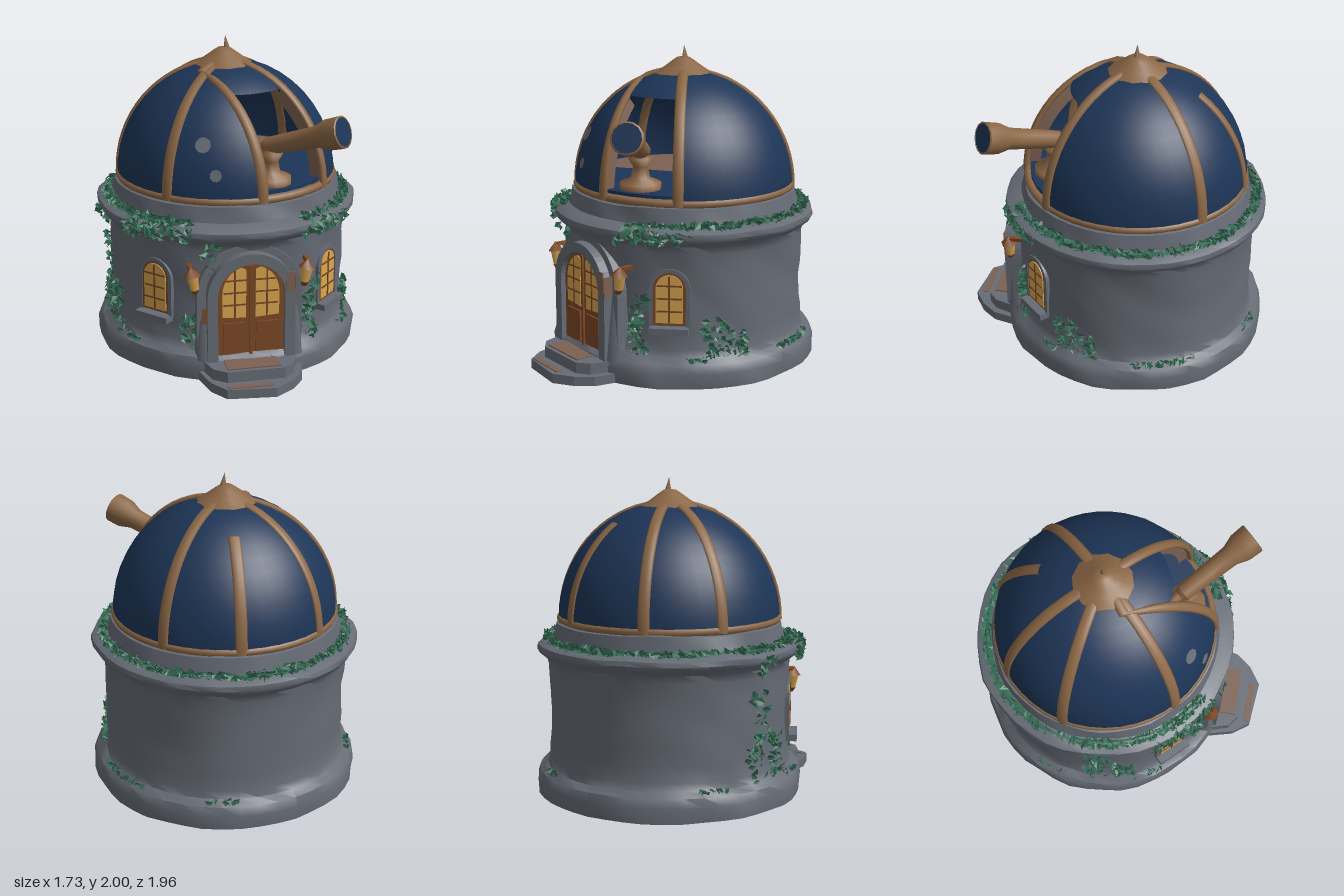
import * as THREE from 'three';
import { mergeVertices, mergeGeometries, toCreasedNormals } from 'three/addons/utils/BufferGeometryUtils.js';
import { ParametricGeometry } from 'three/addons/geometries/ParametricGeometry.js';

const CZ = -0.12; // centre of the round tower
const DEG = Math.PI / 180;
const mat = (name, color, side = THREE.FrontSide) => {
  const m = new THREE.MeshStandardMaterial({ color, side });
  m.name = name;
  return m;
};

export function createModel() {
  const stone = mat('stone', 0x666b75);
  const blue = mat('dome blue', 0x1d3557, THREE.DoubleSide);
  const copper = mat('copper', 0x8b6745, THREE.DoubleSide);
  const wood = mat('door wood', 0x7d4825);
  const glow = mat('window glow', 0xd9a650);
  const ivy = mat('ivy green', 0x377058, THREE.DoubleSide);
  const clay = mat('worn clay', 0x7c6153, THREE.DoubleSide);

  const model = new THREE.Group();
  const add = (name, geo, material, parent = model) => {
    const mesh = new THREE.Mesh(geo, material);
    mesh.name = name;
    parent.add(mesh);
    return mesh;
  };
  const box = (w, h, d, x, y, z) => new THREE.BoxGeometry(w, h, d).translate(x, y, z);
  const lathe = (pts, sides) => new THREE.LatheGeometry(pts.map(([r, y]) => new THREE.Vector2(r, y)), sides);
  let seed = 7;
  const rnd = () => (seed = (seed * 16807) % 2147483647) / 2147483647;
  const spread = (s) => (rnd() * 2 - 1) * s;

  // Uneven hand-built stone: pushes vertices outward by a smooth wave pattern
  const roughen = (geo, amp) => {
    geo.deleteAttribute('uv');
    geo.deleteAttribute('normal');
    const g = mergeVertices(geo, 1e-4);
    const p = g.attributes.position;
    for (let i = 0; i < p.count; i++) {
      const x = p.getX(i), y = p.getY(i), z = p.getZ(i);
      const n = Math.sin(9 * x + 5 * y + 1) * Math.sin(8 * z - 6 * y) + 0.7 * Math.sin(19 * y + 14 * x) * Math.cos(16 * z + 2);
      const k = 1 + amp * n;
      p.setXYZ(i, x * k, y < 0.01 ? y : y + amp * 0.5 * n, z * k);
    }
    return toCreasedNormals(g, 0.75);
  };

  // Round tower: plinth, wall, cornice and drum in one turned profile
  add('tower', roughen(lathe([[0, 0], [0.855, 0], [0.86, 0.09], [0.84, 0.145], [0.79, 0.175], [0.775, 0.22], [0.77, 0.32],
    [0.768, 0.42], [0.768, 0.52], [0.768, 0.62], [0.77, 0.72], [0.775, 0.82], [0.785, 0.87], [0.83, 0.905], [0.845, 0.93],
    [0.84, 0.96], [0.8, 0.98], [0.745, 0.995], [0.735, 1.04], [0.725, 1.09], [0.69, 1.1], [0, 1.1]], 44), 0.012).translate(0, 0, CZ), stone);

  // Dome surface point for heading a (0 = front, + = left) and elevation t
  const domePoint = (a, t, out, target) => target.set(
    (0.71 + out) * Math.cos(t) * Math.sin(a), 1.1 + (0.745 + out) * Math.sin(t), CZ + (0.71 + out) * Math.cos(t) * Math.cos(a));
  const slitLeft = (t) => 27 * DEG - Math.asin(Math.min(0.97, 0.235 / (0.71 * Math.cos(t))));
  const slitRight = () => 49 * DEG;
  const patch = (a0, a1, t0, t1, nu, nv) => new ParametricGeometry((u, v, p) => {
    const t = t0 + (t1 - t0) * v;
    domePoint(a0(t) + (a1(t) - a0(t)) * u, t, 0, p);
  }, nu, nv);
  add('domeShell', patch(slitRight, (t) => slitLeft(t) + 2 * Math.PI, 0, 1.52, 40, 12), blue);
  add('domeSlitTop', patch(slitLeft, slitRight, 0.95, 1.52, 6, 5), blue);

  // Inner jambs of the slit
  for (const edge of [slitLeft, slitRight]) add('slitJamb', new ParametricGeometry((u, v, p) =>
    domePoint(edge(v * 0.95), v * 0.95, -0.09 * u, p), 1, 10), clay);

  // Copper ribs with a rounded section
  const rib = (name, heading, t1, w = 0.036, thick = 0.013) => add(name, new ParametricGeometry((u, v, p) => {
    const t = t1 * v, a = heading(t), f = -u * 2 * Math.PI;
    const side = w * Math.cos(f);
    domePoint(a, t, thick * Math.sin(f), p);
    p.x += side * Math.cos(a);
    p.z -= side * Math.sin(a);
  }, 8, 16), copper);
  for (const d of [-41.5, -102, -141, 134]) rib('domeRib', () => d * DEG, 1.45);
  rib('shortRib', () => 173 * DEG, 0.98);
  for (const edge of [slitLeft, slitRight]) rib('slitRib', edge, 1.4, 0.034, 0.02);
  add('domeRing', new THREE.TorusGeometry(0.695, 0.026, 8, 48).rotateX(Math.PI / 2).translate(0, 1.115, CZ), copper);

  // Crown cap with a bent spike
  add('crownCap', toCreasedNormals(lathe([[0.19, 1.79], [0.185, 1.82], [0.125, 1.86], [0.07, 1.9], [0.04, 1.92], [0, 1.925]], 12), 0.6)
    .translate(-0.01, 0, CZ), copper);
  add('crownSpike', new THREE.ConeGeometry(0.028, 0.11, 6).rotateZ(0.12).translate(0.005, 1.945, CZ), copper);

  // Weathered patches on the dome
  for (const [a, t, r] of [[-23.5, 0.486, 0.05], [-16, 0.242, 0.038]]) {
    const m = add('domePatch', new THREE.CircleGeometry(r, 9), stone);
    domePoint(a * DEG, t, 0.006, m.position);
    m.rotation.set(-t, a * DEG, 0, 'YXZ');
  }

  // Observatory floor, with bare boards in the rear half
  add('floor', new THREE.CylinderGeometry(0.68, 0.68, 0.02, 32).translate(0, 1.15, CZ), blue);
  add('floorBoards', new THREE.CircleGeometry(0.64, 24, 0, Math.PI).rotateX(-Math.PI / 2).rotateY(32 * DEG).translate(0, 1.167, CZ), clay);

  // Telescope and its stand
  add('telescopeStand', lathe([[0.13, 1.16], [0.13, 1.2], [0.06, 1.23], [0.045, 1.3], [0.075, 1.35], [0, 1.4]], 12).translate(0.19, 0, 0.37), copper);
  const telescope = new THREE.Group();
  telescope.name = 'telescope';
  telescope.position.set(0.11, 1.36, 0.28);
  telescope.quaternion.setFromUnitVectors(new THREE.Vector3(0, 1, 0), new THREE.Vector3(0.43, 0.2, 0.44).normalize());
  model.add(telescope);
  add('telescopeTube', toCreasedNormals(lathe([[0, 0], [0.03, 0], [0.032, 0.07], [0.055, 0.1], [0.062, 0.3], [0.068, 0.47],
    [0.096, 0.55], [0.1, 0.645], [0.09, 0.65], [0.087, 0.64]], 14), 0.6), copper, telescope);
  add('telescopeLens', new THREE.CircleGeometry(0.091, 14).rotateX(-Math.PI / 2).translate(0, 0.646, 0), blue, telescope);

  // Arched shapes shared by the door and windows
  const arch = (S, hw, y0, spring) => {
    const s = new S();
    s.moveTo(-hw, y0);
    s.lineTo(hw, y0);
    s.lineTo(hw, spring);
    s.absarc(0, spring, hw, 0, Math.PI, false);
    s.closePath();
    return s;
  };
  const extrude = (shape, depth, z) => new THREE.ExtrudeGeometry(shape, { depth, bevelEnabled: false, curveSegments: 12 }).translate(0, 0, z);
  const archRing = (hw, inner, y0, spring, depth, z) => {
    const s = arch(THREE.Shape, hw, y0, spring);
    s.holes.push(arch(THREE.Path, inner, y0 + 0.004, spring));
    return extrude(s, depth, z);
  };

  // Entrance: stone arch, double door and glazing
  add('doorArch', archRing(0.275, 0.21, 0.1, 0.55, 0.18, 0.53), stone);
  add('doorArchBacking', archRing(0.33, 0.21, 0.1, 0.54, 0.15, 0.5), stone);
  add('door', extrude(arch(THREE.Shape, 0.212, 0.12, 0.55), 0.125, 0.55), wood);
  for (const s of [-1, 1]) {
    const pane = new THREE.Shape();
    pane.moveTo(s * 0.03, 0.4);
    pane.lineTo(s * 0.178, 0.41);
    pane.lineTo(s * 0.178, 0.57);
    pane.quadraticCurveTo(s * 0.168, 0.69, s * 0.06, 0.73);
    pane.lineTo(s * 0.03, 0.715);
    add('doorPane', extrude(pane, 0.006, 0.675), glow);
    add('doorBars', mergeGeometries([box(0.01, 0.31, 0.008, s * 0.1, 0.56, 0.681), ...[0.49, 0.57, 0.65].map((y) =>
      box(0.14, 0.01, 0.008, s * 0.1, y, 0.681))]), wood);
    add('doorPanel', box(0.14, 0.2, 0.014, s * 0.103, 0.27, 0.68), wood);
    // Buttress beside the arch
    add('buttress', new THREE.CylinderGeometry(0.03, 0.075, 0.42, 7).translate(s * 0.275, 0.33, 0.62), stone);
  }
  add('doorPost', box(0.018, 0.6, 0.014, 0, 0.44, 0.683), wood);
  // Worn plaster on the arch
  add('archWear', mergeGeometries([box(0.055, 0.13, 0.006, 0.243, 0.63, 0.711), box(0.006, 0.13, 0.1, 0.276, 0.6, 0.66)]), clay);
  add('archWearLow', box(0.03, 0.1, 0.006, -0.29, 0.43, 0.683), wood);

  // Entrance steps cut from a plan outline
  const step = (name, pts, h) => add(name, extrude(new THREE.Shape(pts.map(([x, z]) => new THREE.Vector2(x, z))), h, -h).rotateX(Math.PI / 2), stone);
  step('lowerStep', [[-0.37, 0.5], [0.37, 0.5], [0.3, 0.8], [0.22, 0.9], [0.1, 0.98], [-0.2, 0.95], [-0.28, 0.84]], 0.06);
  step('upperStep', [[-0.35, 0.5], [0.35, 0.5], [0.25, 0.8], [0.18, 0.86], [-0.18, 0.86], [-0.26, 0.8]], 0.13);
  add('doorMat', box(0.33, 0.008, 0.13, -0.01, 0.134, 0.77), clay);
  add('stepWear', box(0.28, 0.006, 0.04, -0.05, 0.063, 0.925), clay);

  // Side windows and lanterns
  for (const s of [-1, 1]) {
    const win = new THREE.Group();
    win.name = 'window';
    win.position.set(s * 0.765 * Math.sin(45.5 * DEG), 0, CZ + 0.765 * Math.cos(45.5 * DEG));
    win.rotation.y = s * 45.5 * DEG;
    model.add(win);
    add('windowSurround', archRing(0.125, 0.1, 0.37, 0.61, 0.055, -0.04), stone, win);
    add('windowFrame', extrude(arch(THREE.Shape, 0.102, 0.38, 0.61), 0.05, -0.04), wood, win);
    add('windowPane', extrude(arch(THREE.Shape, 0.083, 0.395, 0.615), 0.006, 0.01), glow, win);
    add('windowBars', mergeGeometries([box(0.011, 0.29, 0.008, 0, 0.545, 0.017),
      ...[0.47, 0.55, 0.63].map((y) => box(0.155, 0.01, 0.008, 0, y, 0.017))]), wood, win);
    add('windowSill', box(0.24, 0.04, 0.11, 0, 0.355, 0.01), stone, win);

    const lantern = new THREE.Group();
    lantern.name = 'lantern';
    lantern.position.set(s * 0.35, 0.645, 0.65);
    lantern.rotation.z = -s * 0.15;
    model.add(lantern);
    add('lanternGlass', new THREE.CylinderGeometry(0.04, 0.027, 0.1, 6), glow, lantern);
    add('lanternCap', new THREE.ConeGeometry(0.054, 0.06, 6).translate(0, 0.075, 0), wood, lantern);
    add('lanternBase', new THREE.CylinderGeometry(0.03, 0.015, 0.03, 6).translate(0, -0.06, 0), wood, lantern);
    add('lanternBracket', box(0.025, 0.025, 0.1, 0, 0.085, -0.06), wood, lantern);
  }

  // Ivy: folded leaves scattered along the ledge and hanging vines
  const leaf = new THREE.BufferGeometry();
  leaf.setAttribute('position', new THREE.Float32BufferAttribute(
    [0, -1, 0, 0.7, 0, 0.3, 0, 1, 0, 0, -1, 0, 0, 1, 0, -0.7, 0, 0.3], 3));
  leaf.computeVertexNormals();
  const leaves = [];
  const grow = (a, r, y, size) => leaves.push(leaf.clone().scale(size, size, size).rotateX(spread(1.2)).rotateZ(spread(3))
    .rotateY(a + spread(0.9)).translate(r * Math.sin(a), y, CZ + r * Math.cos(a)));
  for (let i = 0; i < 1200; i++) grow((26 + 308 * rnd()) * DEG, 0.768 + spread(0.03), 0.988 + spread(0.018), 0.018 + rnd() * 0.018);
  // Vines: heading, bottom, top, leaf count, spread in degrees
  const vines = [[-85, 0.18, 0.96, 75, 5], [-72, 0.17, 0.45, 45, 6], [-36, 0.9, 0.99, 45, 10], [-17, 0.62, 0.9, 32, 3], [-26, 0.17, 0.4, 40, 4],
    [31, 0.89, 0.99, 40, 9], [31, 0.16, 0.6, 60, 4], [45, 0.9, 0.98, 30, 8], [68, 0.17, 0.42, 65, 6], [78, 0.17, 0.34, 30, 4],
    [-52, 0.89, 0.98, 35, 9]];
  for (const [d, y0, y1, n, w] of vines) for (let i = 0; i < n; i++) {
    const y = y0 + (y1 - y0) * rnd();
    grow((d + Math.sin(y * 14) * 2 + spread(w)) * DEG, (y > 0.88 ? 0.84 : 0.78) + rnd() * 0.02, y, 0.018 + rnd() * 0.018);
  }
  // Moss at the foot of the wall
  for (const d of [-60, 60, 104, 112, 120, -110, 165]) for (let i = 0; i < 14; i++) grow((d + spread(7)) * DEG, 0.81 + spread(0.02), 0.17, 0.025);
  add('ivyLeaves', mergeGeometries(leaves), ivy);
  add('ivyStem', new THREE.TorusGeometry(0.768, 0.022, 5, 60, 308 * DEG).rotateX(Math.PI / 2).rotateY(-116 * DEG).translate(0, 0.978, CZ), ivy);
  return model;
}
